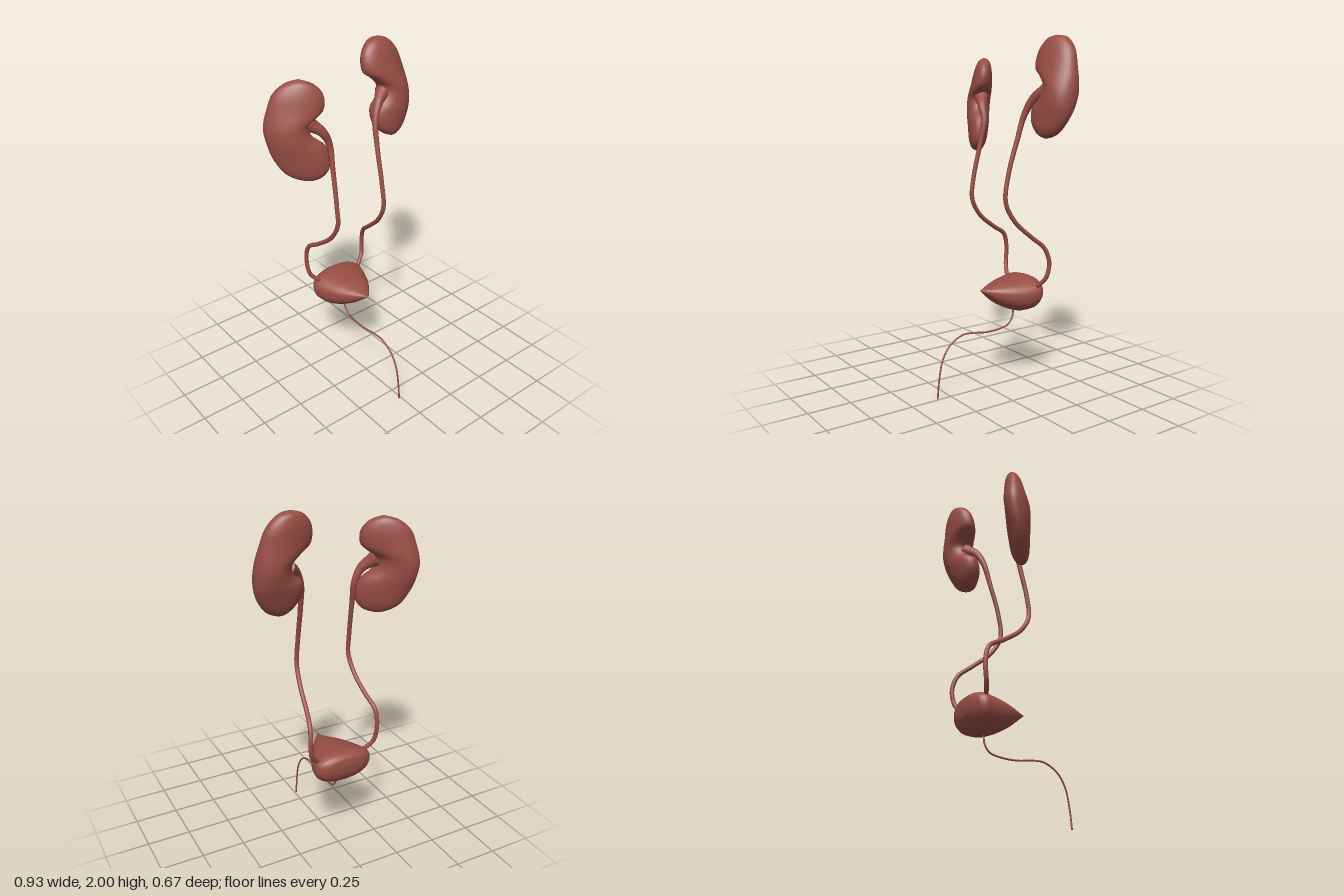
import * as THREE from 'three';
import { mergeVertices } from 'three/addons/utils/BufferGeometryUtils.js';

const V = (x, y, z) => new THREE.Vector3(x, y, z);

// Closed smooth skin over a list of rings; faces are turned outwards by the sign of the volume
function loft(rings) {
  const n = rings[0].length, idx = [];
  let volume = 0;
  const tri = (a, b, c) => {
    idx.push(a, b, c);
    const p = (i) => rings[Math.floor(i / n)][i % n];
    volume += p(a).dot(p(b).clone().cross(p(c)));
  };
  for (let i = 0; i < rings.length - 1; i++) {
    for (let j = 0; j < n; j++) {
      const k = (j + 1) % n;
      const a = i * n + j, b = i * n + k, c = a + n, d = b + n;
      tri(a, b, c);
      tri(b, d, c);
    }
  }
  if (volume < 0) idx.reverse();
  let g = new THREE.BufferGeometry().setFromPoints(rings.flat());
  g.setIndex(idx);
  g = mergeVertices(g, 1e-5);
  g.computeVertexNormals();
  return g;
}

// Tube along a smooth path, radius given by a function of the position 0..1
function taperedTube(points, radius, steps = 90, sides = 14) {
  const curve = new THREE.CatmullRomCurve3(points.map((p) => V(...p)));
  const { normals, binormals } = curve.computeFrenetFrames(steps);
  const rings = [];
  const ring = (i, r) => {
    const c = curve.getPointAt(i / steps);
    rings.push(Array.from({ length: sides }, (_, j) => {
      const a = (j / sides) * Math.PI * 2;
      return c.clone().addScaledVector(normals[i], Math.cos(a) * r).addScaledVector(binormals[i], Math.sin(a) * r);
    }));
  };
  ring(0, 0);
  for (let i = 0; i <= steps; i++) ring(i, radius(i / steps));
  ring(steps, 0);
  return loft(rings);
}

// Kidney: elliptical sections between the inner and outer edge [xi, yi, xo, yo]; depth(x, y) is the middle plane
function kidney(pairs, thickness, depth, steps = 50, sides = 32) {
  const inner = new THREE.CatmullRomCurve3(pairs.map((p) => V(p[0], p[1], 0)));
  const outer = new THREE.CatmullRomCurve3(pairs.map((p) => V(p[2], p[3], 0)));
  const rings = [];
  for (let i = 0; i <= steps; i++) {
    const t = (1 - Math.cos((i / steps) * Math.PI)) / 2;
    const a = inner.getPoint(t), b = outer.getPoint(t);
    const d = thickness * Math.pow(Math.max(0, Math.sin(t * Math.PI)), 0.6);
    rings.push(Array.from({ length: sides }, (_, j) => {
      const ang = (j / sides) * Math.PI * 2;
      const p = a.clone().lerp(b, 0.5 + 0.5 * Math.cos(ang));
      p.z = depth(p.x, p.y) + d * Math.sin(ang);
      return p;
    }));
  }
  return loft(rings);
}

// Bladder: rounded sections along z, each [z, halfWidth, top, bottom]
function bladder(sections, cx, steps = 48, sides = 40) {
  const size = new THREE.CatmullRomCurve3(sections.map((s) => V(s[1], s[2], s[3])));
  const place = new THREE.CatmullRomCurve3(sections.map((s) => V(s[0], 0, 0)));
  const soft = (v) => Math.sign(v) * Math.pow(Math.abs(v), 0.88);
  const rings = [];
  for (let i = 0; i <= steps; i++) {
    const s = size.getPoint(i / steps), z = place.getPoint(i / steps).x;
    const w = Math.max(0, s.x), mid = s.z + (s.y - s.z) * 0.56;
    rings.push(Array.from({ length: sides }, (_, j) => {
      const a = (j / sides) * Math.PI * 2, sn = soft(Math.sin(a));
      return V(cx + w * soft(Math.cos(a)), mid + sn * (sn > 0 ? s.y - mid : mid - s.z), z);
    }));
  }
  return loft(rings);
}

export function createModel() {
  const model = new THREE.Group();
  const tissue = new THREE.MeshStandardMaterial({ color: 0x984e44 });
  tissue.name = 'reddish brown tissue';
  const add = (name, geometry) => {
    const mesh = new THREE.Mesh(geometry, tissue);
    mesh.name = name;
    model.add(mesh);
  };

  // Kidneys, the left one higher and leaning back, the right one turned inwards
  add('leftKidney', kidney([
    [0.278, 1.998, 0.278, 1.998], [0.214, 1.976, 0.347, 1.984], [0.167, 1.913, 0.41, 1.923],
    [0.167, 1.828, 0.442, 1.828], [0.22, 1.786, 0.458, 1.754], [0.267, 1.733, 0.463, 1.685],
    [0.246, 1.67, 0.458, 1.617], [0.193, 1.627, 0.437, 1.553], [0.193, 1.553, 0.394, 1.49],
    [0.246, 1.484, 0.35, 1.463], [0.31, 1.452, 0.31, 1.452],
  ], 0.088, (x, y) => -0.215 - 0.18 * (y - 1.72) - 0.06 * (x - 0.31)));
  add('rightKidney', kidney([
    [-0.283, 1.898, -0.283, 1.898], [-0.22, 1.87, -0.352, 1.876], [-0.183, 1.817, -0.41, 1.823],
    [-0.188, 1.743, -0.442, 1.743], [-0.225, 1.706, -0.458, 1.685], [-0.267, 1.67, -0.463, 1.632],
    [-0.257, 1.61, -0.453, 1.553], [-0.19, 1.543, -0.437, 1.49], [-0.183, 1.43, -0.394, 1.41],
    [-0.22, 1.378, -0.346, 1.375], [-0.283, 1.357, -0.283, 1.357],
  ], 0.082, (x, y) => -0.17 + 0.5 * (x + 0.31) - 0.1 * (y - 1.63)));

  // Ureters, widening into the kidney hollow
  const ureterRadius = (u) => 0.0125 + 0.032 * Math.exp(-u / 0.08);
  add('leftUreter', taperedTube([
    [0.28, 1.71, -0.2], [0.215, 1.665, -0.16], [0.17, 1.58, -0.13], [0.155, 1.45, -0.095],
    [0.145, 1.25, -0.04], [0.146, 1.1, -0.023], [0.155, 0.99, -0.08], [0.172, 0.89, -0.19],
    [0.19, 0.825, -0.265], [0.2, 0.74, -0.293], [0.188, 0.65, -0.28], [0.14, 0.595, -0.255],
  ], ureterRadius));
  add('rightUreter', taperedTube([
    [-0.265, 1.67, -0.15], [-0.2, 1.615, -0.11], [-0.165, 1.54, -0.1], [-0.167, 1.42, -0.075],
    [-0.178, 1.2, -0.03], [-0.18, 1.09, -0.023], [-0.188, 0.99, -0.08], [-0.197, 0.905, -0.19],
    [-0.208, 0.85, -0.275], [-0.212, 0.77, -0.298], [-0.2, 0.655, -0.285], [-0.152, 0.598, -0.26],
  ], ureterRadius));

  // Bladder, pointed at the front
  add('bladder', bladder([
    [0.04, 0, 0.58, 0.58], [0, 0.035, 0.588, 0.545], [-0.06, 0.085, 0.603, 0.495],
    [-0.13, 0.13, 0.618, 0.455], [-0.2, 0.16, 0.63, 0.432], [-0.26, 0.174, 0.637, 0.437],
    [-0.3, 0.155, 0.63, 0.465], [-0.325, 0.1, 0.61, 0.51], [-0.334, 0, 0.57, 0.57],
  ], -0.013));

  // Urethra
  add('urethra', taperedTube([
    [-0.012, 0.45, -0.2], [-0.012, 0.39, -0.194], [-0.012, 0.348, -0.165], [-0.012, 0.33, -0.1],
    [-0.012, 0.327, 0], [-0.012, 0.341, 0.1], [-0.012, 0.339, 0.167], [-0.012, 0.294, 0.246],
    [-0.012, 0.22, 0.294], [-0.012, 0.1, 0.32], [-0.012, 0, 0.33],
  ], () => 0.005, 80, 10));

  return model;
}
